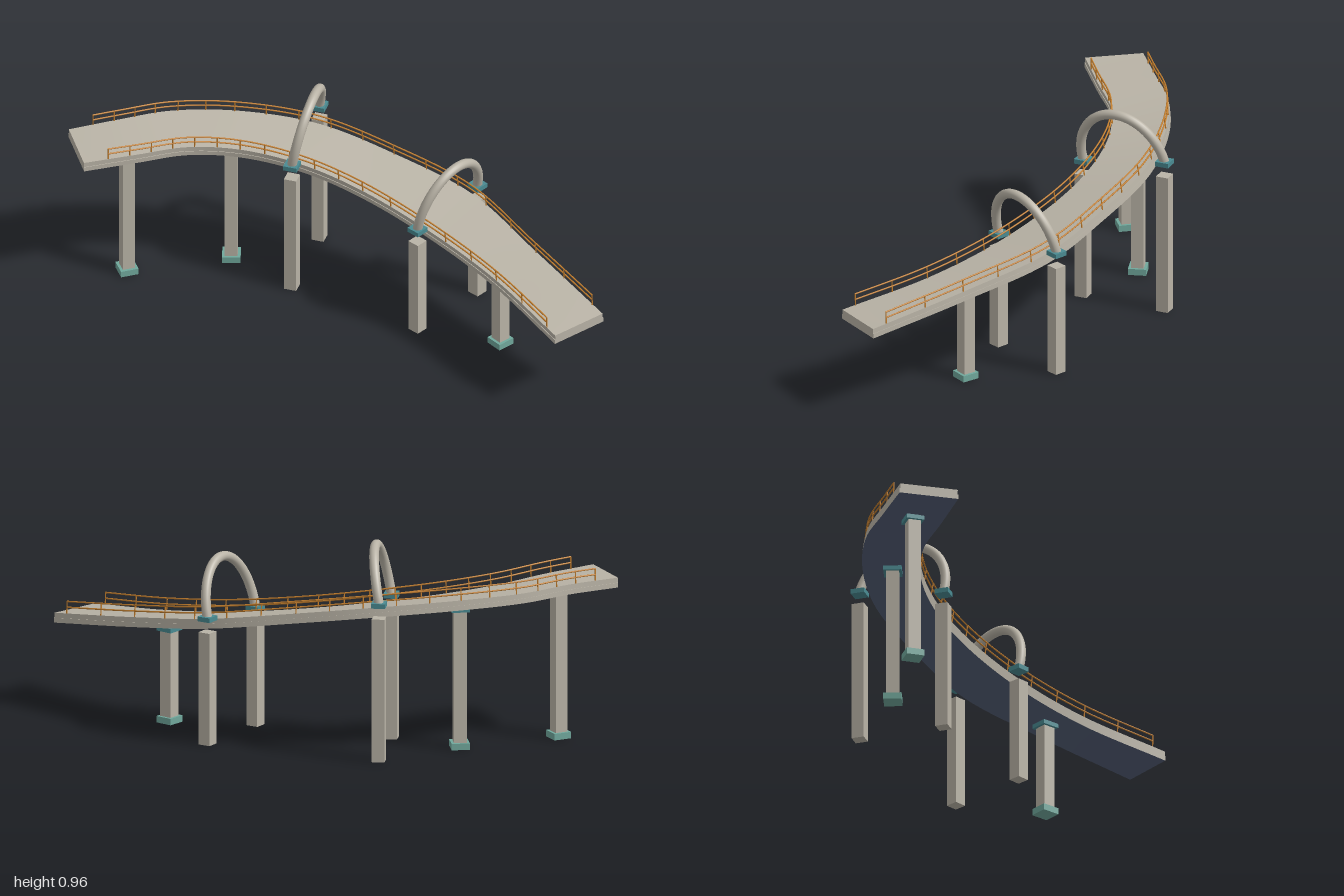
import * as THREE from 'three';
import { mergeGeometries } from 'three/addons/utils/BufferGeometryUtils.js';

const V = (x, y, z) => new THREE.Vector3(x, y, z);
const material = (name, color) => {
  const m = new THREE.MeshStandardMaterial({ color });
  m.name = name;
  return m;
};

// Road edges at matching stations; the outer edge is higher, so the road is banked
const innerEdge = new THREE.CatmullRomCurve3([
  V(-1, 0.742, -0.615), V(-0.75, 0.73, -0.618), V(-0.5, 0.712, -0.625), V(-0.26, 0.685, -0.56),
  V(-0.02, 0.645, -0.415), V(0.19, 0.595, -0.21), V(0.41, 0.53, 0.1), V(0.59, 0.475, 0.45), V(0.738, 0.422, 0.885)]);
const outerEdge = new THREE.CatmullRomCurve3([
  V(-0.985, 0.745, -0.88), V(-0.74, 0.745, -0.882), V(-0.5, 0.735, -0.887), V(-0.2, 0.72, -0.81),
  V(0.12, 0.69, -0.645), V(0.4, 0.635, -0.385), V(0.66, 0.57, -0.075), V(0.82, 0.5, 0.33), V(0.99, 0.43, 0.8)]);

// Directions across the road and up from its banked surface
function roadFrame(t) {
  const across = outerEdge.getPoint(t).sub(innerEdge.getPoint(t)).normalize();
  const up = V(0, 1, 0).addScaledVector(across, -across.y).normalize();
  return { across, up };
}

// Point at a road edge: side 0 = inner, 1 = outer, pushed outward and up
function edgePoint(t, side, outset, height) {
  const { across, up } = roadFrame(t);
  return (side ? outerEdge : innerEdge).getPoint(t)
    .addScaledVector(across, side ? outset : -outset).addScaledVector(up, height);
}

// Rectangular section swept along the road; the bottom face is its own group
function sweptSlab(top, bottom, outset, steps = 64) {
  const corners = t => [edgePoint(t, 0, outset, top), edgePoint(t, 1, outset, top),
    edgePoint(t, 1, outset, bottom), edgePoint(t, 0, outset, bottom)];
  const build = (points, index) => {
    const g = new THREE.BufferGeometry().setFromPoints(points);
    g.setIndex(index);
    g.computeVertexNormals();
    return g;
  };
  const rings = Array.from({ length: steps + 1 }, (_, i) => corners(i / steps));
  const strip = k => {
    const points = [], index = [];
    rings.forEach((r, i) => {
      points.push(r[k], r[(k + 1) % 4]);
      const a = i * 2;
      if (i < steps) index.push(a, a + 2, a + 1, a + 1, a + 2, a + 3);
    });
    return build(points, index);
  };
  const sides = mergeGeometries([strip(0), strip(1), strip(3),
    build(rings[0], [0, 1, 2, 0, 2, 3]), build(rings[steps], [0, 2, 1, 0, 3, 2])]);
  return mergeGeometries([sides, strip(2)], true);
}

export function createModel() {
  const model = new THREE.Group();
  model.name = 'curvedBridge';
  const concrete = material('concrete', 0xb9b3a6);
  const footingTeal = material('footingTeal', 0x70a89c);
  const seatTeal = material('seatTeal', 0x4a8b92);
  const bronze = material('railBronze', 0xc47f2e);
  const slate = material('slateUnderside', 0x535e76);

  const add = (parent, name, geometry, mat) => {
    const mesh = new THREE.Mesh(geometry, mat);
    mesh.name = name;
    parent.add(mesh);
    return mesh;
  };
  const block = (parent, name, mat, x, z, y0, y1, size, turn) => {
    const mesh = add(parent, name, new THREE.BoxGeometry(size, y1 - y0, size), mat);
    mesh.position.set(x, (y0 + y1) / 2, z);
    mesh.rotation.y = turn;
  };

  // Deck: road slab on a slightly wider lower slab
  add(model, 'roadSlab', sweptSlab(0, -0.023, 0), concrete);
  add(model, 'lowerSlab', sweptSlab(-0.023, -0.045, 0.003), [concrete, slate]);

  // Railings along both edges
  const t0 = 0.058, t1 = 0.982, postCount = 18;
  ['innerRailing', 'outerRailing'].forEach((name, side) => {
    const railing = new THREE.Group();
    railing.name = name;
    model.add(railing);
    for (const h of [0.028, 0.055]) {
      const points = Array.from({ length: 41 }, (_, i) => edgePoint(t0 + (t1 - t0) * i / 40, side, -0.003, h));
      add(railing, 'rail', new THREE.TubeGeometry(new THREE.CatmullRomCurve3(points), 80, 0.0036, 10), bronze);
    }
    for (let i = 0; i <= postCount; i++) {
      const t = t0 + (t1 - t0) * i / postCount;
      const post = add(railing, 'post', new THREE.CylinderGeometry(0.003, 0.003, 0.058, 10), bronze);
      post.position.copy(edgePoint(t, side, -0.003, 0.027));
      post.quaternion.setFromUnitVectors(V(0, 1, 0), roadFrame(t).up);
    }
  });

  // Piers under the deck, with footing and cap
  for (const [x, z, top, turn] of [[-0.752, -0.75, 0.694, 0], [-0.275, -0.7, 0.66, -0.35], [0.67, 0.302, 0.448, -1.17]]) {
    const pier = new THREE.Group();
    pier.name = 'deckPier';
    model.add(pier);
    block(pier, 'footing', footingTeal, x, z, 0, 0.03, 0.083, turn);
    block(pier, 'column', concrete, x, z, 0.03, top - 0.02, 0.058, turn);
    block(pier, 'cap', seatTeal, x, z, top - 0.02, top, 0.083, turn);
  }

  // Leaning arches over the deck, each with two seats and two free columns
  const arches = [
    { inner: V(-0.085, 0.67, -0.405), outer: V(0.15, 0.73, -0.727), rise: V(0.012, 0.24, 0.065) },
    { inner: V(0.35, 0.55, 0.08), outer: V(0.695, 0.588, -0.11), rise: V(0.012, 0.248, 0.062) }];
  for (const { inner, outer, rise } of arches) {
    const group = new THREE.Group();
    group.name = 'arch';
    model.add(group);
    const mid = inner.clone().add(outer).multiplyScalar(0.5);
    const half = outer.clone().sub(mid);
    const points = Array.from({ length: 25 }, (_, i) => {
      const a = Math.PI * i / 24;
      return mid.clone().addScaledVector(half, -Math.cos(a)).addScaledVector(rise, Math.sin(a));
    });
    add(group, 'archTube', new THREE.TubeGeometry(new THREE.CatmullRomCurve3(points), 64, 0.022, 16), concrete);
    const turn = Math.atan2(-half.z, half.x);
    for (const foot of [inner, outer]) {
      block(group, 'archSeat', seatTeal, foot.x, foot.z, foot.y - 0.014, foot.y + 0.008, 0.064, turn);
      block(group, 'archColumn', concrete, foot.x, foot.z, 0, foot.y - 0.065, 0.058, turn);
    }
  }
  return model;
}
